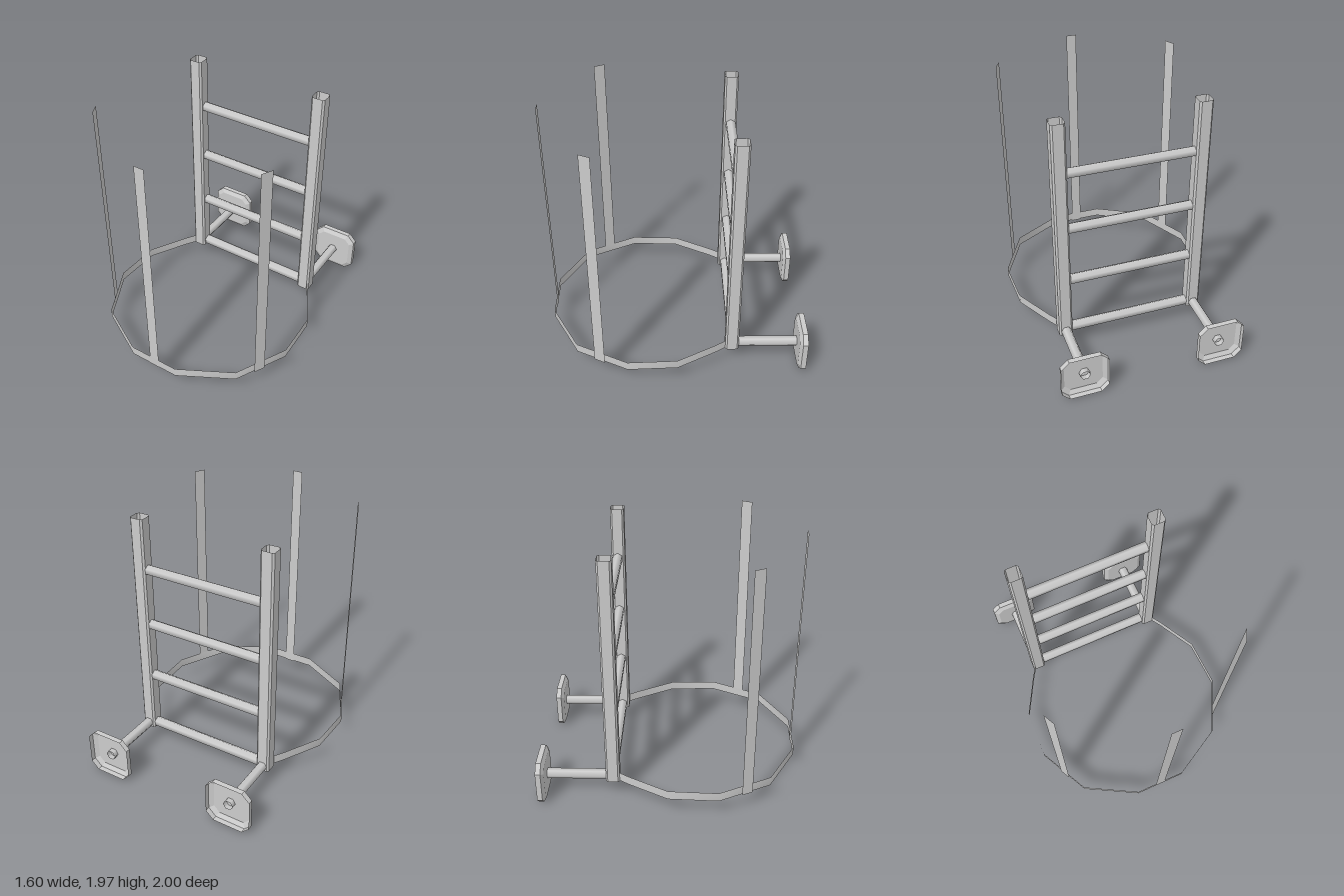
import * as THREE from 'three';

const smooth = new THREE.MeshStandardMaterial({ color: 0xcccccc, side: THREE.DoubleSide });
const flat = new THREE.MeshStandardMaterial({ color: 0xcccccc, side: THREE.DoubleSide, flatShading: true });

// Skin a sheet through cross-sections that all have the same number of points
function loft(sections, closed) {
  const n = sections[0].length;
  const index = [];
  for (let s = 0; s < sections.length - 1; s++) {
    for (let i = 0; i < (closed ? n : n - 1); i++) {
      const a = s * n + i, b = s * n + (i + 1) % n;
      index.push(a, b, b + n, a, b + n, a + n);
    }
  }
  const geometry = new THREE.BufferGeometry();
  geometry.setAttribute('position', new THREE.Float32BufferAttribute(sections.flat(2), 3));
  geometry.setIndex(index);
  geometry.computeVertexNormals();
  return geometry;
}

// Square outline with cut corners, counter-clockwise
function cutSquare(h, c) {
  const k = h - c;
  return [[h, -k], [h, k], [k, h], [-k, h], [-h, k], [-h, -k], [-k, -h], [k, -h]];
}

// Upright sheet following a plan outline of [x, z] points, facing outward
function wall(plan, y0, y1, closed) {
  return loft([y1, y0].map(y => plan.map(([x, z]) => [x, y, z])), closed);
}

export function createModel() {
  const group = new THREE.Group();
  const add = (name, geometry, material, x = 0, y = 0, z = 0) => {
    const mesh = new THREE.Mesh(geometry, material);
    mesh.name = name;
    mesh.position.set(x, y, z);
    group.add(mesh);
    return mesh;
  };
  const railX = 0.532, railZ = -0.43, baseY = 0.18, top = 1.97;

  // Ladder rungs: six-sided bars between the rails
  for (let i = 0; i < 4; i++) {
    const rung = new THREE.CylinderGeometry(0.041, 0.041, railX * 2, 6, 1, true);
    rung.rotateY(Math.PI / 2).rotateZ(Math.PI / 2);
    add('rung', rung, smooth, 0, baseY + i * 0.461, -0.435);
  }

  // Dished wall pad: floor, bevel and rim, open to the back
  const ring = (h, c, z) => cutSquare(h, c).map(([x, y]) => [x, y, z]);
  const center = Array.from({ length: 8 }, () => [0, 0, -0.94]);
  const padGeometry = loft([
    center, ring(0.147, 0.045, -0.94), ring(0.181, 0.06, -0.96), ring(0.181, 0.06, -1),
  ], true);

  for (const side of [-1, 1]) {
    // Hollow square rail, open at both ends
    add('ladderRail', wall(cutSquare(0.053, 0.014), 0.14, top, true), flat, side * railX, 0, railZ);

    // Hollow wall bracket passing through its pad
    const bracket = new THREE.CylinderGeometry(0.04, 0.04, 0.51, 6, 1, true);
    bracket.rotateY(Math.PI / 2).rotateX(Math.PI / 2);
    add('wallBracket', bracket, smooth, side * railX, baseY, -0.725);
    add('wallPad', padGeometry, flat, side * 0.537, 0.181, 0);
  }

  // Safety hoop: a thin band from rail to rail
  const half = [[0.2, 1], [0.6, 0.78], [0.8, 0.38], [0.785, 0], [0.62, -0.3], [0.55, -0.41]];
  const hoop = [...half].reverse().concat(half.map(([x, z]) => [-x, z]));
  add('safetyHoop', wall(hoop, 0.146, 0.219, false), smooth);

  // Cage straps standing on the hoop
  for (const [x, z, angle] of [[0.005, 0.998, 0], [0.7, 0.6, 1.107], [-0.7, 0.6, -1.107]]) {
    const strap = add('cageStrap', new THREE.PlaneGeometry(0.09, top - 0.14), smooth, x, (top + 0.14) / 2, z);
    strap.rotation.y = angle;
    if (angle === 0) strap.scale.x = 0.9;
  }
  return group;
}
